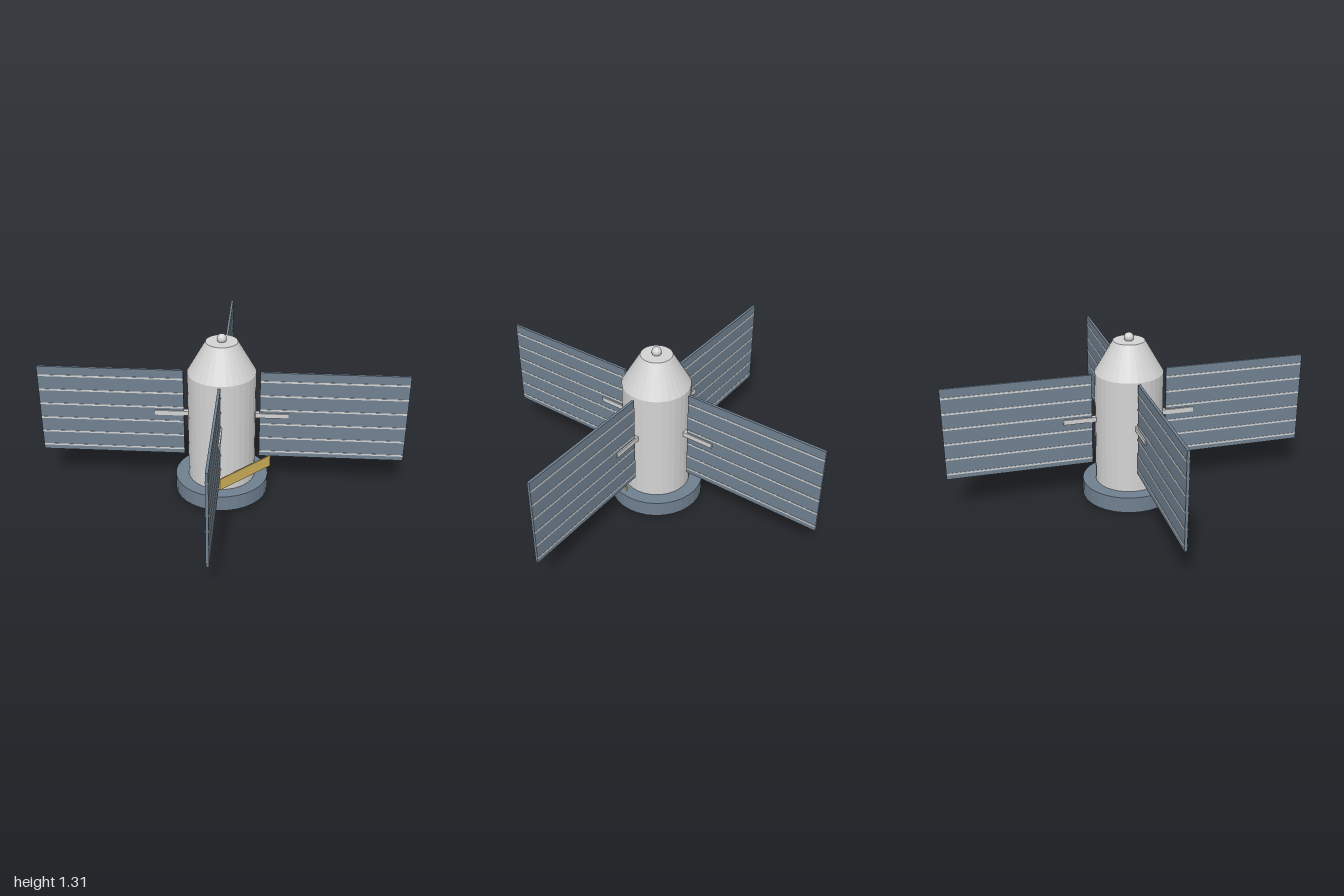
import * as THREE from 'three';

const SEG = 32;

function material(name, color) {
  const m = new THREE.MeshStandardMaterial({ color });
  m.name = name;
  return m;
}

// Gives every facet its own normal
function faceted(geometry) {
  const g = geometry.toNonIndexed();
  g.computeVertexNormals();
  return g;
}

export function createModel() {
  const lightGrey = material('light grey', 0xd3d3d3);
  const slate = material('slate', 0x708090);
  const gold = material('gold', 0xd4b55c);

  const model = new THREE.Group();
  model.name = 'satellite';

  function add(parent, name, geometry, mat, x = 0, y = 0, z = 0) {
    const mesh = new THREE.Mesh(geometry, mat);
    mesh.name = name;
    mesh.position.set(x, y, z);
    parent.add(mesh);
    return mesh;
  }

  // Hull, nose cone and tip
  add(model, 'hull', faceted(new THREE.CylinderGeometry(0.26, 0.26, 1.01, SEG)), lightGrey, 0, 0.505, 0);
  add(model, 'noseCone', faceted(new THREE.CylinderGeometry(0.12, 0.26, 0.245, SEG)), lightGrey, 0, 1.1325, 0);
  add(model, 'noseTip', new THREE.SphereGeometry(0.037, 24, 16), lightGrey, 0, 1.277, 0);

  // Base collar: a ring around the foot of the hull
  const collarProfile = [[0.255, 0], [0.362, 0], [0.362, 0.125], [0.255, 0.125]]
    .map(([r, y]) => new THREE.Vector2(r, y));
  add(model, 'baseCollar', faceted(new THREE.LatheGeometry(collarProfile, SEG)), slate);

  // Gold plate standing just off the front of the hull
  add(model, 'frontPlate', new THREE.BoxGeometry(0.52, 0.095, 0.009), gold, 0, 0.2475, 0.274);

  // Four solar wings on the diagonals, each built along its own +x
  const inner = 0.29, outer = 1.404;
  const length = outer - inner, middle = (inner + outer) / 2;
  for (let i = 0; i < 4; i++) {
    const wing = new THREE.Group();
    wing.name = 'solarWing' + (i + 1);
    wing.rotation.y = Math.PI / 4 + i * Math.PI / 2;
    add(wing, 'panel', new THREE.BoxGeometry(length, 0.722, 0.02), slate, middle, 0.649, 0);
    add(wing, 'strut', new THREE.BoxGeometry(0.257, 0.038, 0.04), lightGrey, 0.3825, 0.649, 0);
    // Pale lines across both faces
    for (let k = 0; k < 6; k++) {
      add(wing, 'panelLine' + (k + 1), new THREE.BoxGeometry(length - 0.002, 0.014, 0.024),
        lightGrey, middle, 0.33 + k * 0.121, 0);
    }
    model.add(wing);
  }

  return model;
}
